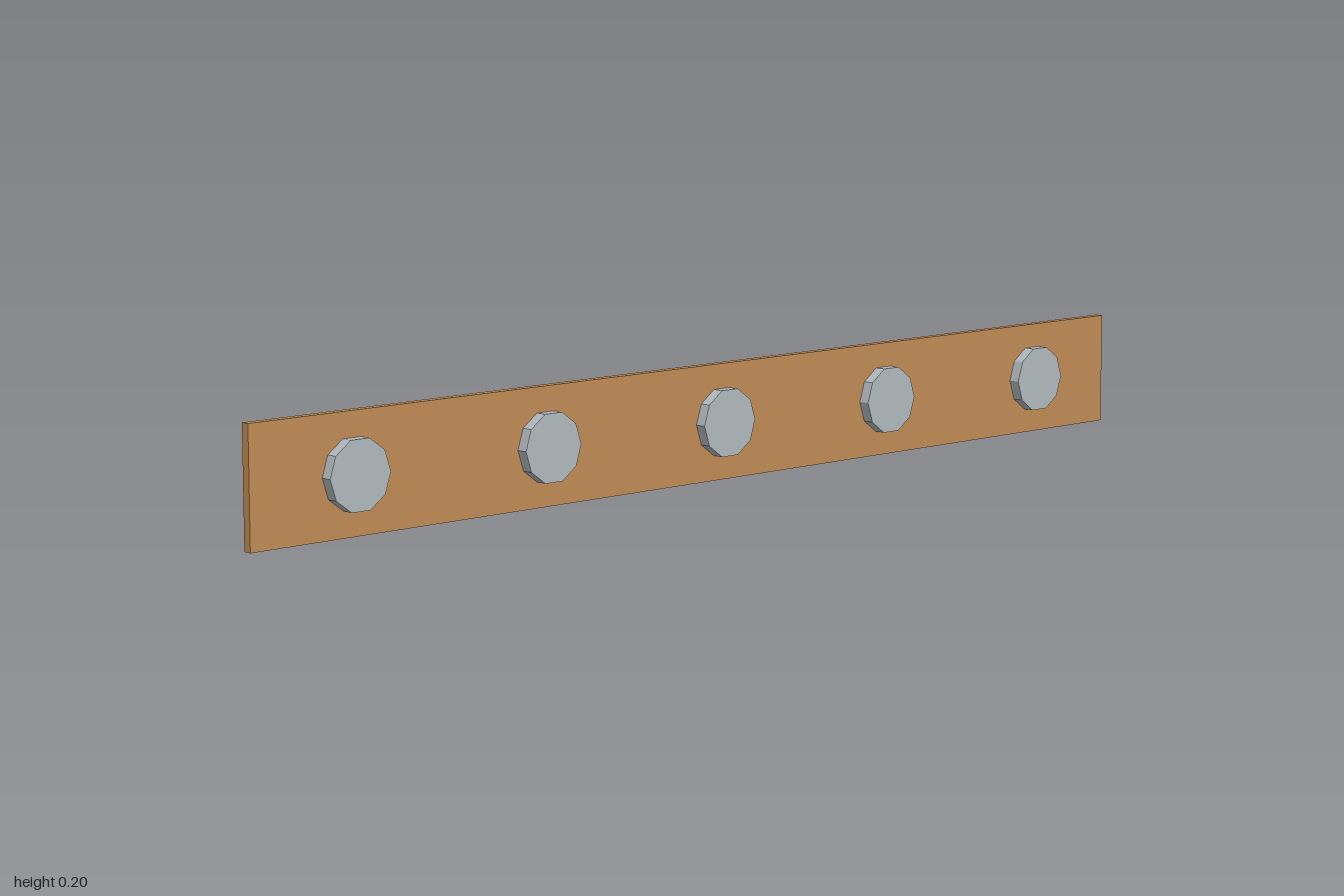
import * as THREE from 'three';

export function createModel() {
  const group = new THREE.Group();
  group.name = 'studdedPlank';

  const wood = new THREE.MeshStandardMaterial({ color: 0xc08c55 });
  wood.name = 'wood';
  const metal = new THREE.MeshStandardMaterial({ color: 0xb2babf, flatShading: true });
  metal.name = 'metal';

  // Thin wooden board
  const plank = new THREE.Mesh(new THREE.BoxGeometry(2, 0.2, 0.015), wood);
  plank.name = 'plank';
  plank.position.set(0, 0.1, -0.01);
  group.add(plank);

  // Five ten-sided metal studs on the front, a corner pointing to each side
  const studGeometry = new THREE.CylinderGeometry(0.06, 0.06, 0.02, 10);
  studGeometry.rotateY(Math.PI / 2).rotateX(Math.PI / 2);
  for (let i = 0; i < 5; i++) {
    const stud = new THREE.Mesh(studGeometry, metal);
    stud.name = `stud${i + 1}`;
    stud.position.set(-0.8 + i * 0.4, 0.1, 0.0075);
    group.add(stud);
  }

  return group;
}
